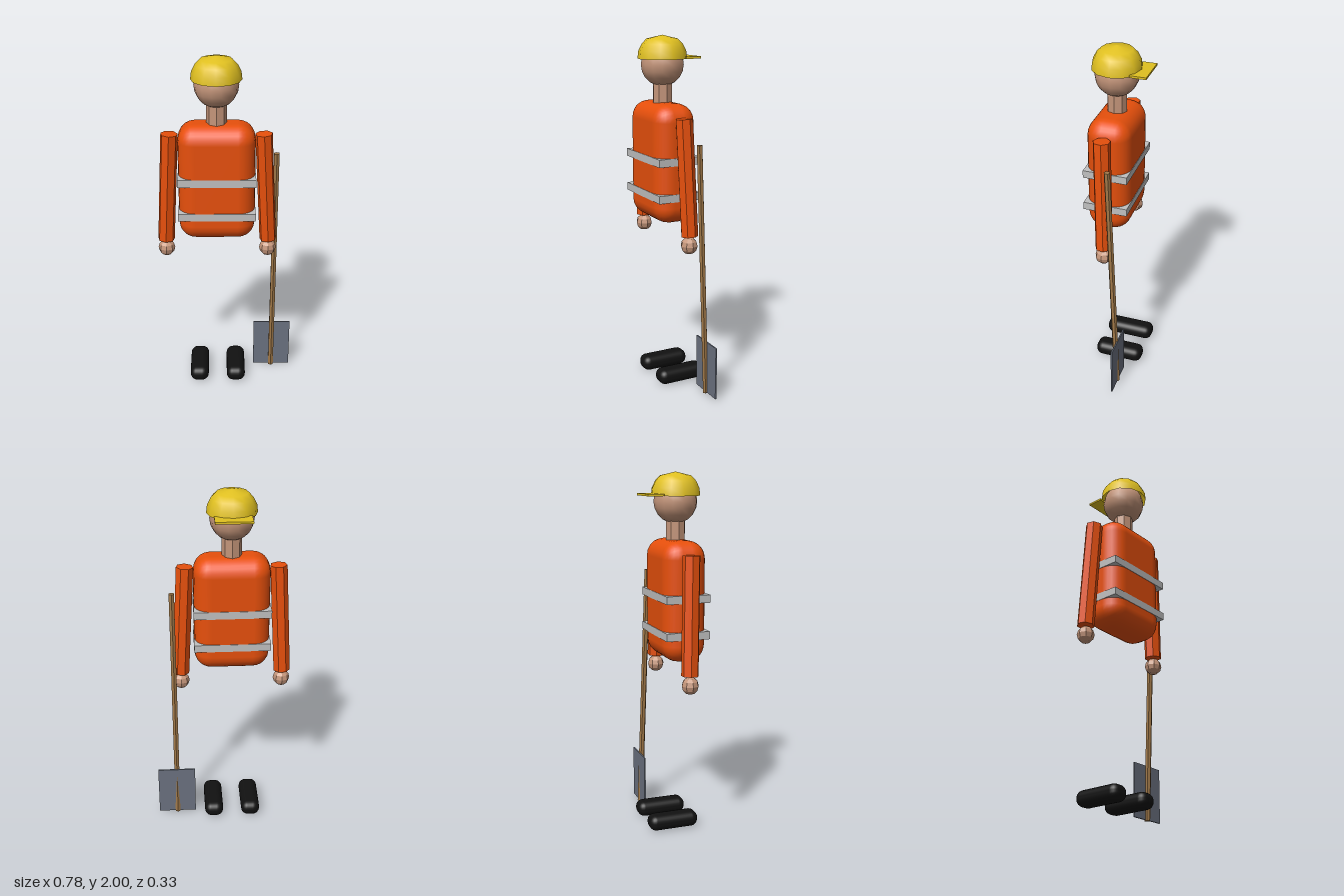
import * as THREE from 'three';
import { RoundedBoxGeometry } from 'three/addons/geometries/RoundedBoxGeometry.js';

const mat = (name, color, extra = {}) => {
  const m = new THREE.MeshStandardMaterial({ color, ...extra });
  m.name = name;
  return m;
};

export function createModel() {
  const model = new THREE.Group();
  model.name = 'roadWorker';
  const CX = -0.053, CZ = 0.029; // body axis

  const orange = mat('orange cloth', 0xe8500c);
  const orangeFlat = orange.clone();
  orangeFlat.flatShading = true;
  const skin = mat('skin', 0xc4957a);
  const skinFlat = skin.clone();
  skinFlat.flatShading = true;
  const yellow = mat('helmet yellow', 0xe0c020, { side: THREE.DoubleSide });
  const silver = mat('reflective silver', 0xc0c0c0);
  const black = mat('boot black', 0x111111);
  const wood = mat('wood', 0xa07848, { flatShading: true });
  const steel = mat('steel', 0x6b7280);

  const add = (name, geo, material, x, y, z) => {
    const mesh = new THREE.Mesh(geo, material);
    mesh.name = name;
    mesh.position.set(x, y, z);
    model.add(mesh);
    return mesh;
  };

  // Straight rod between two points
  const rod = (name, from, to, r, sides, material) => {
    const a = new THREE.Vector3(...from), b = new THREE.Vector3(...to);
    const dir = b.clone().sub(a);
    const mesh = add(name, new THREE.CylinderGeometry(r, r, dir.length(), sides), material,
      ...a.clone().add(b).multiplyScalar(0.5).toArray());
    mesh.quaternion.setFromUnitVectors(new THREE.Vector3(0, 1, 0), dir.normalize());
    return mesh;
  };

  // Torso and reflective bands
  add('torso', new RoundedBoxGeometry(0.42, 0.66, 0.243, 3, 0.095), orange, CX, 1.308, CZ);
  for (const y of [1.132, 1.332]) {
    add('reflectiveBand', new THREE.BoxGeometry(0.425, 0.043, 0.248), silver, CX, y, CZ);
  }

  // Neck and head
  add('neck', new THREE.CylinderGeometry(0.055, 0.055, 0.14, 8), skinFlat, CX, 1.68, CZ);
  add('head', new THREE.SphereGeometry(0.12, 14, 10), skin, CX, 1.843, CZ);

  // Helmet shell and brim
  const shell = [[0.136, 1.873], [0.131, 1.915], [0.112, 1.953], [0.086, 1.98], [0, 2]]
    .map(([r, y]) => new THREE.Vector2(r, y));
  add('helmet', new THREE.LatheGeometry(shell, 12), yellow, CX, 0, CZ);
  add('helmetBrim', new THREE.BoxGeometry(0.198, 0.012, 0.09), yellow, CX, 1.879, -0.114);

  // Arms, hands and boots
  for (const [side, s] of [['left', 1], ['right', -1]]) {
    rod(side + 'Arm', [CX + s * 0.289, 0.933, 0.01], [CX + s * 0.255, 1.572, 0.028], 0.048, 7, orangeFlat);
    add(side + 'Hand', new THREE.SphereGeometry(0.048, 8, 6), skinFlat, CX + s * 0.288, 0.88, 0.011);
    add(side + 'Boot', new RoundedBoxGeometry(0.11, 0.088, 0.286, 3, 0.04), black,
      CX + s * 0.11, 0.048, -0.025);
  }

  // Shovel
  rod('shovelHandle', [0.277, 0.003, -0.079], [0.277, 1.438, -0.026], 0.017, 6, wood);
  add('shovelBlade', new THREE.BoxGeometry(0.22, 0.305, 0.008), steel, 0.278, 0.16, -0.082);

  return model;
}
